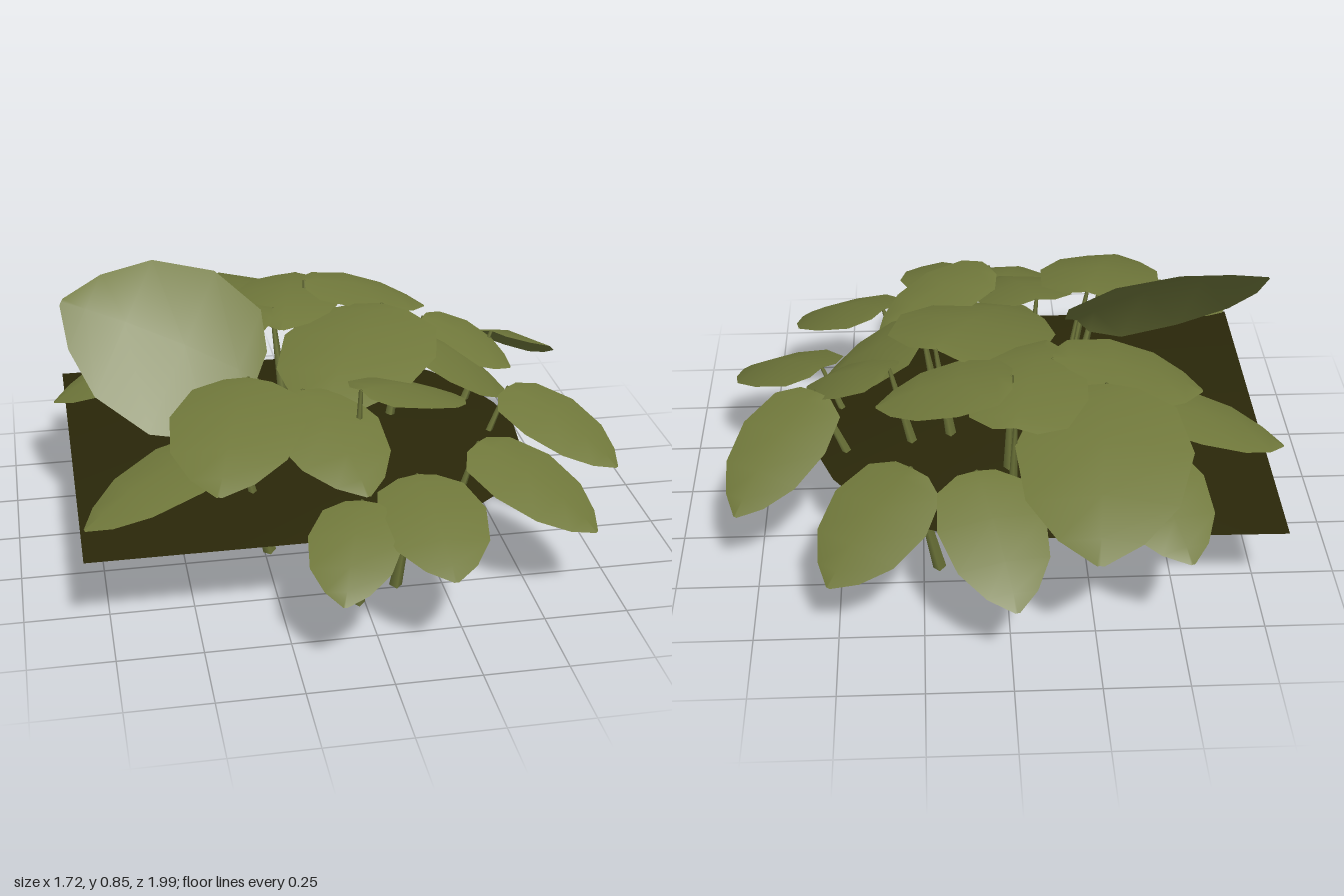
import * as THREE from 'three';

const leafGreen = new THREE.MeshStandardMaterial({ color: 0x70783b, side: THREE.DoubleSide });
leafGreen.name = 'leaf green';
const soilBrown = new THREE.MeshStandardMaterial({ color: 0x2a2709, side: THREE.DoubleSide });
soilBrown.name = 'dark undergrowth';

function surface(positions, index) {
  const g = new THREE.BufferGeometry();
  g.setAttribute('position', new THREE.Float32BufferAttribute(positions, 3));
  g.setIndex(index);
  g.computeVertexNormals();
  return g;
}

// Leaf cross-sections: distance along the midrib, relative half width
const ROWS = [[0, 0.36], [0.1, 0.8], [0.38, 1], [0.68, 0.84], [0.88, 0.46], [1, 0.04]];

// Creased, arched blade running from base to tip, rolled about its midrib
function leafGeometry(base, tip, width, roll) {
  const along = tip.clone().sub(base);
  const length = along.length();
  const side = new THREE.Vector3(0, 1, 0).cross(along).normalize();
  side.applyAxisAngle(along.clone().normalize(), roll);
  const up = along.clone().cross(side).normalize();
  const positions = [], index = [];
  ROWS.forEach(([t, w], i) => {
    for (const s of [-1, 0, 1]) {
      const lift = 0.28 * length * t * (1 - t) - Math.abs(s) * w * width * 0.09;
      const p = base.clone().addScaledVector(along, t)
        .addScaledVector(side, s * w * width / 2).addScaledVector(up, lift);
      positions.push(p.x, p.y, p.z);
    }
    if (i === 0) return;
    for (let j = 0; j < 2; j++) {
      const a = (i - 1) * 3 + j, c = i * 3 + j;
      index.push(a, c, a + 1, a + 1, c, c + 1);
    }
  });
  return surface(positions, index);
}

// Tapered stalk between two points
function stemMesh(foot, top) {
  const dir = top.clone().sub(foot);
  const g = new THREE.CylinderGeometry(0.006, 0.02, dir.length(), 4, 1, true);
  const m = new THREE.Mesh(g, leafGreen);
  m.name = 'stem';
  m.position.copy(foot).add(top).multiplyScalar(0.5);
  m.quaternion.setFromUnitVectors(new THREE.Vector3(0, 1, 0), dir.normalize());
  return m;
}

// One leaf on its own stem, which leans outward from the middle
function leafOnStem(base, tip, width, roll = 0) {
  const plant = new THREE.Group();
  plant.name = 'leafOnStem';
  const leaf = new THREE.Mesh(leafGeometry(base, tip, width, roll), leafGreen);
  leaf.name = 'leaf';
  const foot = new THREE.Vector3(base.x * 0.72, Math.max(0, base.y - 0.42), base.z * 0.87);
  plant.add(leaf, stemMesh(foot, base));
  return plant;
}

// Base x, y, z; tip x, y, z; width
const LEAVES = [
  // back edge
  [-0.3, 0.61, -0.37, -0.23, 0.43, -1, 0.51],
  [-0.36, 0.5, -0.52, -0.5, 0.34, -0.89, 0.32],
  [0.09, 0.45, -0.57, -0.01, 0.25, -0.97, 0.32],
  [0.28, 0.44, -0.53, 0.52, 0.22, -0.8, 0.35],
  // right edge
  [0.57, 0.5, -0.2, 0.8, 0.27, -0.52, 0.31],
  [0.56, 0.42, 0.06, 0.84, 0.25, 0.34, 0.31],
  [0.37, 0.42, 0.42, 0.66, 0.24, 0.7, 0.33],
  // front edge
  [0.15, 0.41, 0.57, 0.17, 0.29, 0.98, 0.32],
  [-0.03, 0.39, 0.66, -0.14, 0.25, 0.99, 0.27],
  // left edge
  [-0.35, 0.49, 0.4, -0.81, 0.32, 0.57, 0.31],
  [-0.4, 0.5, -0.3, -0.86, 0.32, -0.29, 0.3],
  // middle ring
  [-0.29, 0.59, 0.21, -0.44, 0.46, 0.7, 0.4],
  [-0.13, 0.55, 0.24, -0.01, 0.4, 0.66, 0.34],
  [0.02, 0.6, 0.38, 0.38, 0.46, 0.2, 0.28],
  [0.24, 0.6, -0.02, 0.57, 0.38, 0.02, 0.38],
  [0.34, 0.57, -0.2, 0.6, 0.43, -0.06, 0.28],
  [-0.02, 0.65, -0.38, 0.38, 0.54, -0.36, 0.31],
  [-0.02, 0.6, -0.58, -0.14, 0.6, -0.1, 0.36],
  [-0.15, 0.62, -0.24, -0.6, 0.52, -0.28, 0.38],
  // crown
  [0.2, 0.63, -0.19, -0.09, 0.49, 0.31, 0.5],
];

export function createModel() {
  const model = new THREE.Group();
  model.name = 'leafyPlant';

  // Shallow undergrowth sheet: square on the left, rounded on the right
  const rim = [[-0.82, 0.64]];
  for (let i = 0; i <= 12; i++) {
    const a = Math.PI / 2 - (i * Math.PI) / 12;
    rim.push([0.6 * Math.cos(a), 0.64 * Math.sin(a)]);
  }
  rim.push([-0.82, -0.65]);
  const positions = [0, 0.35, 0], index = [];
  rim.forEach(([x, z], i) => {
    positions.push(x, 0.255, z);
    index.push(0, i + 1, ((i + 1) % rim.length) + 1);
  });
  const sheet = new THREE.Mesh(surface(positions, index), soilBrown);
  sheet.name = 'undergrowth';
  model.add(sheet);

  // Dome of leaves
  for (const [bx, by, bz, tx, ty, tz, width] of LEAVES) {
    model.add(leafOnStem(new THREE.Vector3(bx, by, bz), new THREE.Vector3(tx, ty, tz), width));
  }

  // Upturned leaf at the left, rolled to face the front
  const upturned = leafOnStem(
    new THREE.Vector3(-0.25, 0.54, 0.12), new THREE.Vector3(-0.82, 0.77, -0.04), 0.58, -0.72);
  upturned.name = 'upturnedLeaf';
  model.add(upturned);
  return model;
}
